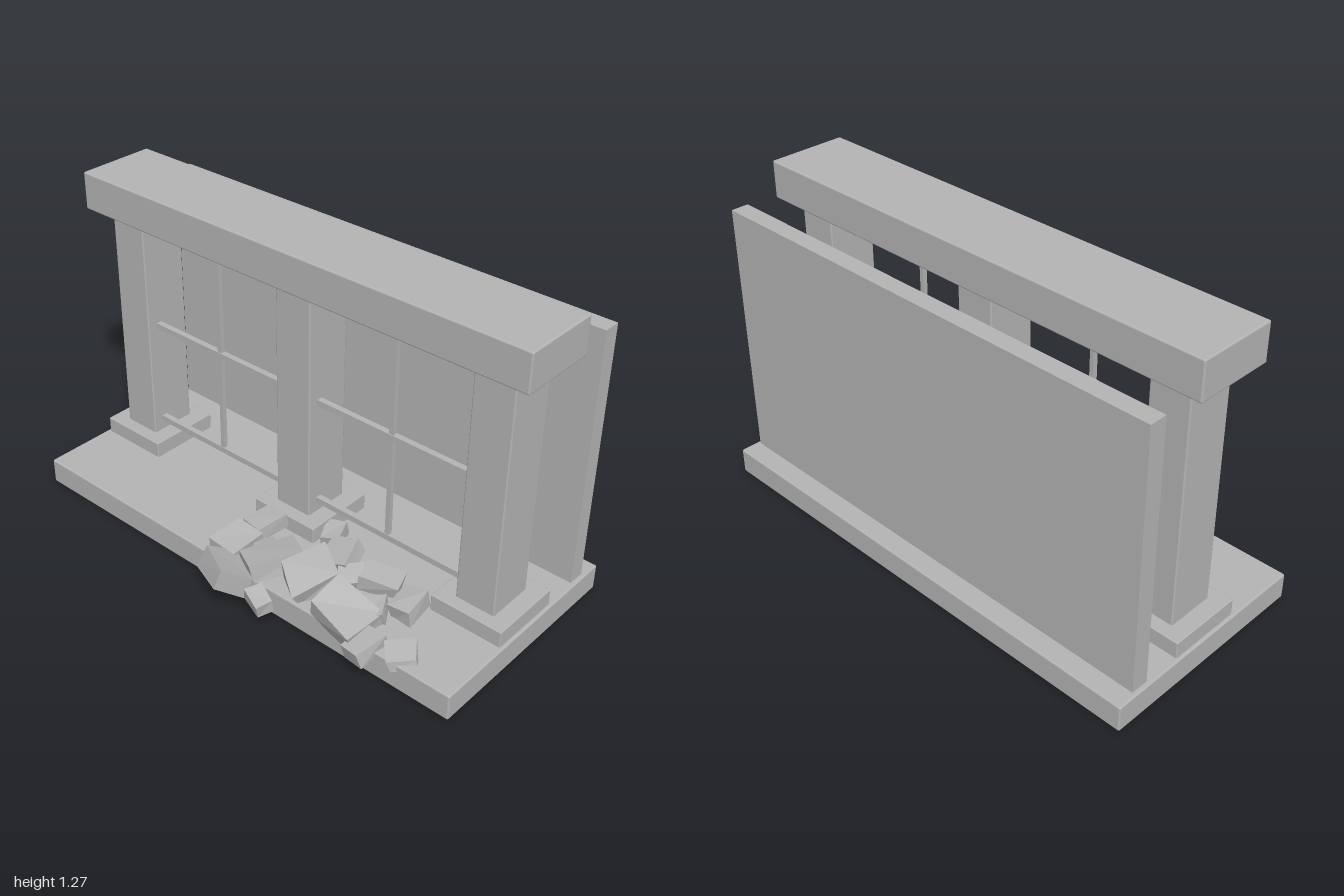
import * as THREE from 'three';
import { RoundedBoxGeometry } from 'three/addons/geometries/RoundedBoxGeometry.js';

export function createModel() {
  const model = new THREE.Group();
  model.name = 'ruinedColonnade';
  const stone = new THREE.MeshStandardMaterial({ color: 0xb4b4b4 });
  stone.name = 'greyStone';
  const rubbleStone = stone.clone();
  rubbleStone.flatShading = true;

  const add = (name, geo, parent = model, mat = stone) => {
    const mesh = new THREE.Mesh(geo, mat);
    mesh.name = name;
    parent.add(mesh);
    return mesh;
  };
  // Box given by its limits on each axis, with optional softened edges
  const block = (name, [x0, x1], [y0, y1], [z0, z1], bevel = 0, parent = model) => {
    const size = [x1 - x0, y1 - y0, z1 - z0];
    const geo = bevel ? new RoundedBoxGeometry(...size, 2, bevel) : new THREE.BoxGeometry(...size);
    add(name, geo, parent).position.set((x0 + x1) / 2, (y0 + y1) / 2, (z0 + z1) / 2);
  };

  // Floor slab, back wall and top beam
  block('floorSlab', [-1, 1], [0.003, 0.108], [-0.53, 0.37], 0.007);
  block('backWall', [-0.983, 0.983], [0.105, 1.145], [-0.45, -0.38]);
  block('topBeam', [-1, 1], [1.12, 1.27], [-0.24, 0.08], 0.007);

  // Square columns on plinths
  for (const x of [-0.84, 0, 0.84]) {
    block('plinth', [x - 0.147, x + 0.147], [0.1, 0.173], [-0.232, 0.07], 0.004);
    block('column', [x - 0.08, x + 0.08], [0.165, 1.125], [-0.178, 0.018], 0.006);
  }

  // Thin window bars between the columns
  for (const s of [-1, 1]) {
    const bars = new THREE.Group();
    bars.name = s < 0 ? 'rightWindowBars' : 'leftWindowBars';
    model.add(bars);
    for (const y of [0.225, 0.657, 1.077])
      block('crossBar', [s * 0.42 - 0.345, s * 0.42 + 0.345], [y - 0.012, y + 0.012], [-0.048, -0.024], 0, bars);
    block('uprightBar', [s * 0.415 - 0.009, s * 0.415 + 0.009], [0.225, 1.077], [-0.045, -0.027], 0, bars);
  }

  // Rubble: boxes with slightly shifted corners
  let seed = 7;
  const rand = () => (seed = (seed * 16807) % 2147483647) / 2147483647 - 0.5;
  const chunkGeo = (w, h, d) => {
    const geo = new THREE.BoxGeometry(w, h, d);
    const p = geo.attributes.position;
    const shift = Array.from({ length: 8 }, () => [rand(), rand(), rand()]);
    for (let i = 0; i < p.count; i++) {
      const [x, y, z] = [p.getX(i), p.getY(i), p.getZ(i)];
      const s = shift[(x > 0 ? 1 : 0) + (y > 0 ? 2 : 0) + (z > 0 ? 4 : 0)];
      p.setXYZ(i, x + s[0] * w * 0.14, y + s[1] * h * 0.2, z + s[2] * d * 0.14);
    }
    geo.computeVertexNormals();
    return geo;
  };
  const rubble = new THREE.Group();
  rubble.name = 'rubble';
  model.add(rubble);
  // centre, size, rotation
  const chunks = [
    [-0.04, 0.14, 0.12, 0.10, 0.06, 0.13, 0.1, -0.25, 0.1],
    [-0.04, 0.14, 0.28, 0.12, 0.07, 0.15, 0.15, -0.1, -0.1],
    [0.14, 0.155, 0.28, 0.14, 0.08, 0.20, 0.1, -0.5, 0.2],
    [0.04, 0.135, 0.425, 0.18, 0.10, 0.13, -0.5, -0.5, 0.1],
    [0.31, 0.165, 0.265, 0.15, 0.08, 0.17, 0.3, -0.55, -0.25],
    [0.21, 0.10, 0.43, 0.09, 0.05, 0.07, 0.2, -0.4, -0.2],
    [0.505, 0.13, 0.305, 0.21, 0.09, 0.16, 0.2, -0.12, -0.25],
    [0.64, 0.105, 0.365, 0.09, 0.065, 0.12, 0.25, -0.2, 0.1],
    [0.765, 0.115, 0.32, 0.10, 0.04, 0.10, 0.15, 0.75, 0.1],
    [0.65, 0.14, 0.13, 0.09, 0.065, 0.13, 0.1, 0.12, 0.15],
    [0.30, 0.145, 0.09, 0.12, 0.07, 0.12, 0.35, 0.25, 0.3],
    [0.49, 0.14, 0.09, 0.14, 0.06, 0.10, 0.1, 0.35, -0.15],
    [0.40, 0.13, 0.14, 0.10, 0.06, 0.08, 0.3, 0.7, 0.2],
    [0.06, 0.13, 0.23, 0.08, 0.06, 0.08, 0.1, -0.7, 0.2],
    [0.19, 0.135, 0.0, 0.08, 0.06, 0.09, 0.2, 0.4, 0.1],
    [0.57, 0.13, 0.23, 0.08, 0.06, 0.09, 0.2, 0.5, 0.2],
  ];
  for (const [x, y, z, w, h, d, rx, ry, rz] of chunks) {
    const m = add('rubbleChunk', chunkGeo(w, h, d), rubble, rubbleStone);
    m.position.set(x, y, z);
    m.rotation.set(rx, ry, rz, 'YXZ');
  }
  return model;
}
